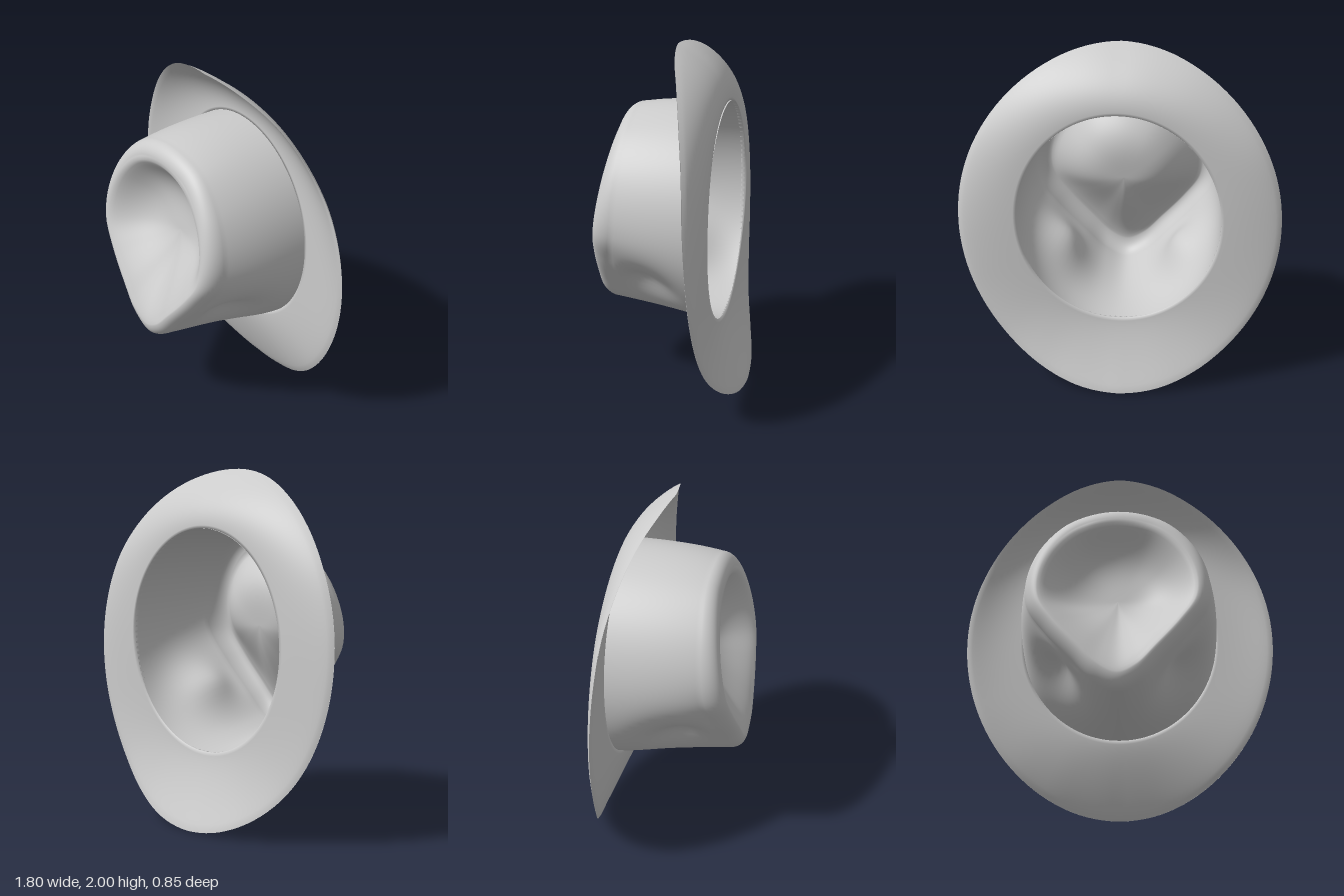
import * as THREE from 'three';

const COLS = 120;
const CENTER_Y = 1.055; // middle of the head opening
const { lerp, smoothstep, clamp } = THREE.MathUtils;

// Smooth surface from closed rings; point(row, u) returns [x, y, z], u = 0..1 anticlockwise
function ringSurface(rows, point) {
  const pos = [], index = [];
  for (let i = 0; i < rows; i++) {
    for (let j = 0; j < COLS; j++) pos.push(...point(i, j / COLS));
  }
  for (let i = 0; i < rows - 1; i++) {
    for (let j = 0; j < COLS; j++) {
      const k = (j + 1) % COLS;
      const a = i * COLS + j, b = i * COLS + k, c = a + COLS, d = b + COLS;
      index.push(a, b, d, a, d, c);
    }
  }
  const geo = new THREE.BufferGeometry();
  geo.setAttribute('position', new THREE.Float32BufferAttribute(pos, 3));
  geo.setIndex(index);
  geo.computeVertexNormals();
  return geo;
}

// Oval where the crown meets the brim
const opening = (a) => [0.567 * Math.cos(a), CENTER_Y + 0.625 * Math.sin(a)];

// Depth of the brim edge, from the bottom (-90 degrees) to the top (90) in 15 degree steps
const edgeDepth = new THREE.SplineCurve(
  [-0.42, -0.402, -0.355, -0.305, -0.275, -0.257, -0.24, -0.22, -0.195, -0.15, -0.095, -0.035, 0]
    .map((z, i) => new THREE.Vector2(i, z)));

// Brim: front sheet from the edge inwards, then the back sheet outwards again
function brimGeometry() {
  const n = 20;
  return ringSurface(2 * n + 2, (i, u) => {
    const front = i <= n;
    const t = front ? 1 - i / n : (i - n - 1) / n;
    const a = u * Math.PI * 2;
    const [x, y] = opening(a);
    const c = Math.cos(a), s = Math.sin(a);
    const rise = clamp(Math.asin(s) / Math.PI + 0.5, 0, 1);
    const inner = -0.274 + 0.01 * Math.max(s, 0) ** 2;
    const curve = lerp(1.4, 2.1, smoothstep(s, -1, 1)) + 0.6 * c * c;
    const half = (0.008 + 0.006 * c ** 4) * Math.sqrt(1 - Math.pow(t, 10)) + 0.001;
    const shoulder = 1 + 0.02 * s * c * c; // slightly fuller at the top
    return [
      lerp(x, 0.898 * c * shoulder, t),
      lerp(y, 1 + s, t),
      lerp(inner, edgeDepth.getPoint(rise).y, Math.pow(t, curve)) + (front ? half : -half),
    ];
  });
}

// Teardrop outline of the crown's top, pinched towards the bottom
const half = [[0.26, 1.58], [0.43, 1.41], [0.512, 1.2], [0.505, 1.02], [0.4, 0.85], [0.245, 0.665], [0.12, 0.53]];
const teardrop = new THREE.CatmullRomCurve3([
  [0, 1.645],
  ...half.map(([x, y]) => [-x, y]),
  [0, 0.475],
  ...half.slice().reverse(),
].map(([x, y]) => new THREE.Vector3(x, y, 0)), true);

// Tilted plane of the top ridge
const ridgeZ = (y) => 0.425 - 0.13 * Math.pow(clamp((y - 0.55) / 1.05, 0, 1), 1.3);

// Crown: wall, rounded ridge, then the sunken bowl
function crownGeometry() {
  const wall = 30, lip = 12, bowl = 24;
  const bowlY = 1.1, ridge = 0.85, sink = 0.2;
  return ringSurface(wall + lip + bowl + 1, (i, u) => {
    const p = teardrop.getPoint(u);
    const top = ridgeZ(p.y);
    const round = lerp(0.12, 0.08, Math.abs(p.y - CENTER_Y) / 0.6);
    if (i <= wall) {
      const f = i / wall;
      const [x, y] = opening(Math.atan2(p.y - CENTER_Y, p.x));
      const m = Math.pow(f, lerp(1.5, 2.8, smoothstep(p.y, 0.7, 1.1)));
      // Finger dents on both sides of the pinch
      const off = (Math.atan2(p.y - CENTER_Y, Math.abs(p.x)) + 0.76) / 0.32;
      const dent = 1 - 0.15 * Math.exp(-off * off) * Math.sin(Math.PI * Math.pow(f, 1.5)) ** 2;
      return [
        lerp(x, p.x, m) * dent,
        CENTER_Y + (lerp(y, p.y, m) - CENTER_Y) * dent,
        lerp(-0.28, top - round, f),
      ];
    }
    if (i <= wall + lip) {
      const q = ((i - wall) / lip) * Math.PI / 2;
      const s = 1 - (1 - ridge) * (1 - Math.cos(q));
      return [p.x * s, bowlY + (p.y - bowlY) * s, top - round * (1 - Math.sin(q))];
    }
    const v = 1 - (i - wall - lip) / bowl;
    const s = ridge * v;
    const y = bowlY + (p.y - bowlY) * s;
    const steep = lerp(1.8, 3.6, smoothstep(p.y, 0.5, 1.4)); // gentle slope at the tip
    return [p.x * s, y, ridgeZ(y) - sink * Math.pow(1 - Math.pow(v, steep), 1.6)];
  });
}

export function createModel() {
  const group = new THREE.Group();
  group.name = 'hat';
  const material = new THREE.MeshStandardMaterial({ color: 0xcccccc, side: THREE.DoubleSide });
  const parts = { brim: brimGeometry(), crown: crownGeometry() };
  for (const [name, geometry] of Object.entries(parts)) {
    const mesh = new THREE.Mesh(geometry, material);
    mesh.name = name;
    group.add(mesh);
  }
  return group;
}
